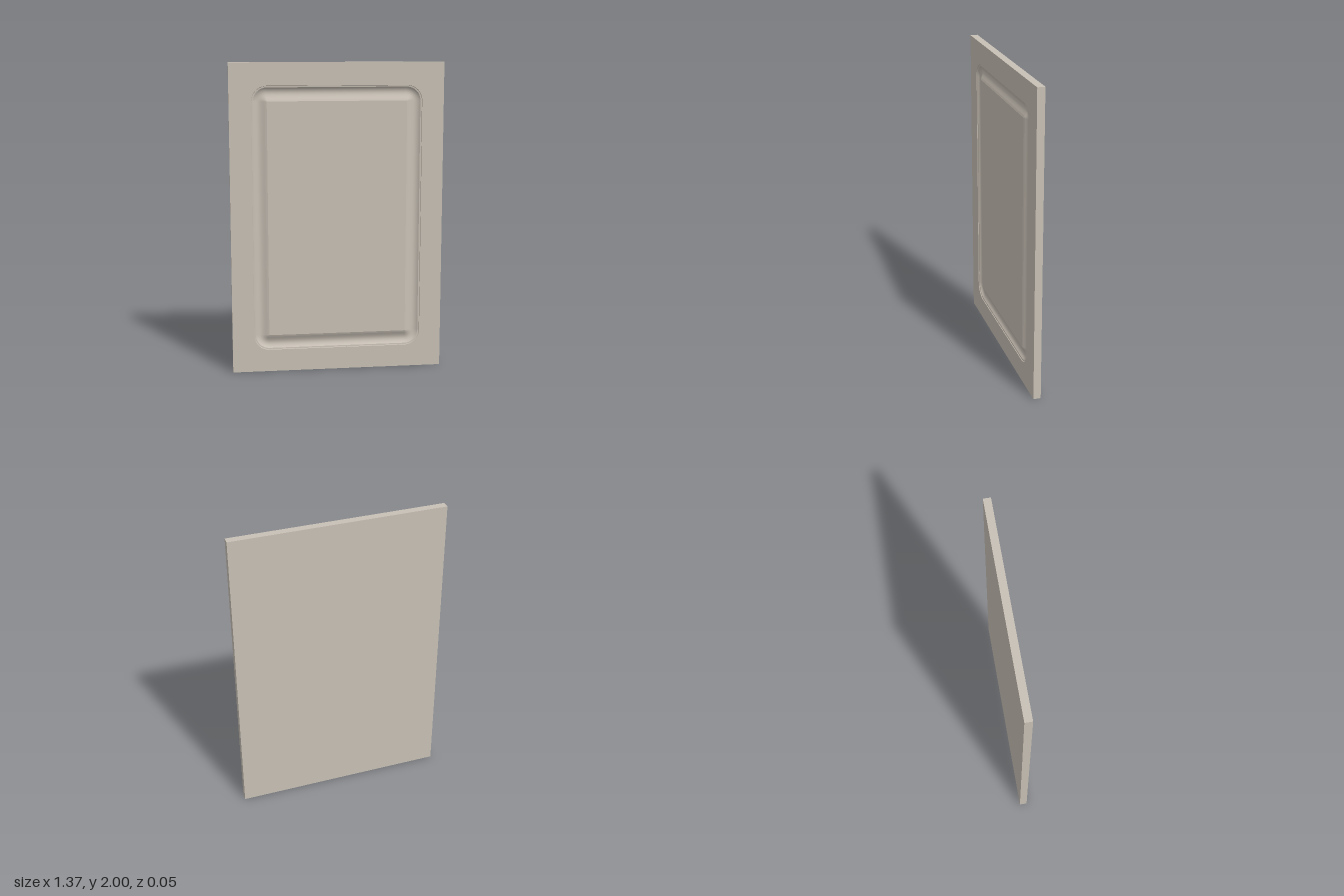
import * as THREE from 'three';

const W = 0.685, H = 1, T = 0.024;         // half sizes of the door slab
const GW = 0.545, GH = 0.855, R = 0.1;     // outer outline of the groove
const CORNER_STEPS = 12;

// Rounded rectangle outline, inset by d, counter-clockwise
function outline(d) {
  const w = GW - d, h = GH - d, r = Math.max(R - d, 0.001);
  const pts = [];
  [[1, 1], [-1, 1], [-1, -1], [1, -1]].forEach(([sx, sy], q) => {
    for (let i = 0; i <= CORNER_STEPS; i++) {
      const a = (q + i / CORNER_STEPS) * Math.PI / 2;
      pts.push(new THREE.Vector2(sx * (w - r) + r * Math.cos(a), sy * (h - r) + r * Math.sin(a)));
    }
  });
  return pts;
}

// Sweep a profile of [inset, z] points around the outline
function sweep(profile) {
  const pos = [], index = [];
  const n = 4 * (CORNER_STEPS + 1);
  profile.forEach(([d, z], k) => {
    outline(d).forEach((p) => pos.push(p.x, p.y, z));
    if (k === 0) return;
    for (let i = 0; i < n; i++) {
      const j = (i + 1) % n, a = (k - 1) * n, b = k * n;
      index.push(a + i, a + j, b + j, a + i, b + j, b + i);
    }
  });
  const geo = new THREE.BufferGeometry();
  geo.setAttribute('position', new THREE.Float32BufferAttribute(pos, 3));
  geo.setIndex(index);
  geo.computeVertexNormals();
  return geo;
}

export function createModel() {
  const door = new THREE.Group();
  door.name = 'panelDoor';
  const material = new THREE.MeshStandardMaterial({ color: 0xc8c0b5 });
  const add = (name, geo) => {
    const mesh = new THREE.Mesh(geo, material);
    mesh.name = name;
    mesh.position.y = H;
    door.add(mesh);
  };

  // Back and edges: a box without its front face
  const slab = new THREE.BoxGeometry(2 * W, 2 * H, 2 * T);
  const faces = Array.from(slab.index.array);
  faces.splice(24, 6);
  slab.setIndex(faces);
  slab.clearGroups();
  add('slabBackAndEdges', slab);

  // Flat frame around the groove
  const frame = new THREE.Shape([[-W, -H], [W, -H], [W, H], [-W, H]].map(([x, y]) => new THREE.Vector2(x, y)));
  frame.holes.push(new THREE.Path(outline(0).reverse()));
  add('frontFrame', new THREE.ShapeGeometry(frame).translate(0, 0, T));

  // Small step at the outer rim
  add('grooveOuterStep', sweep([[0, T], [0.002, T - 0.004]]));
  add('grooveOuterLedge', sweep([[0.002, T - 0.004], [0.011, T - 0.005]]));

  // Rounded cove
  const cove = [];
  for (let i = 0; i <= 12; i++) {
    const t = i / 12;
    cove.push([0.011 + 0.075 * t, T - 0.005 - 0.015 * Math.sin(Math.PI * Math.pow(t, 0.85))]);
  }
  add('grooveCove', sweep(cove));

  // Bevel up to the raised field
  add('fieldBevel', sweep([[0.086, T - 0.005], [0.098, T]]));
  add('centreField', new THREE.ShapeGeometry(new THREE.Shape(outline(0.098))).translate(0, 0, T));

  return door;
}
